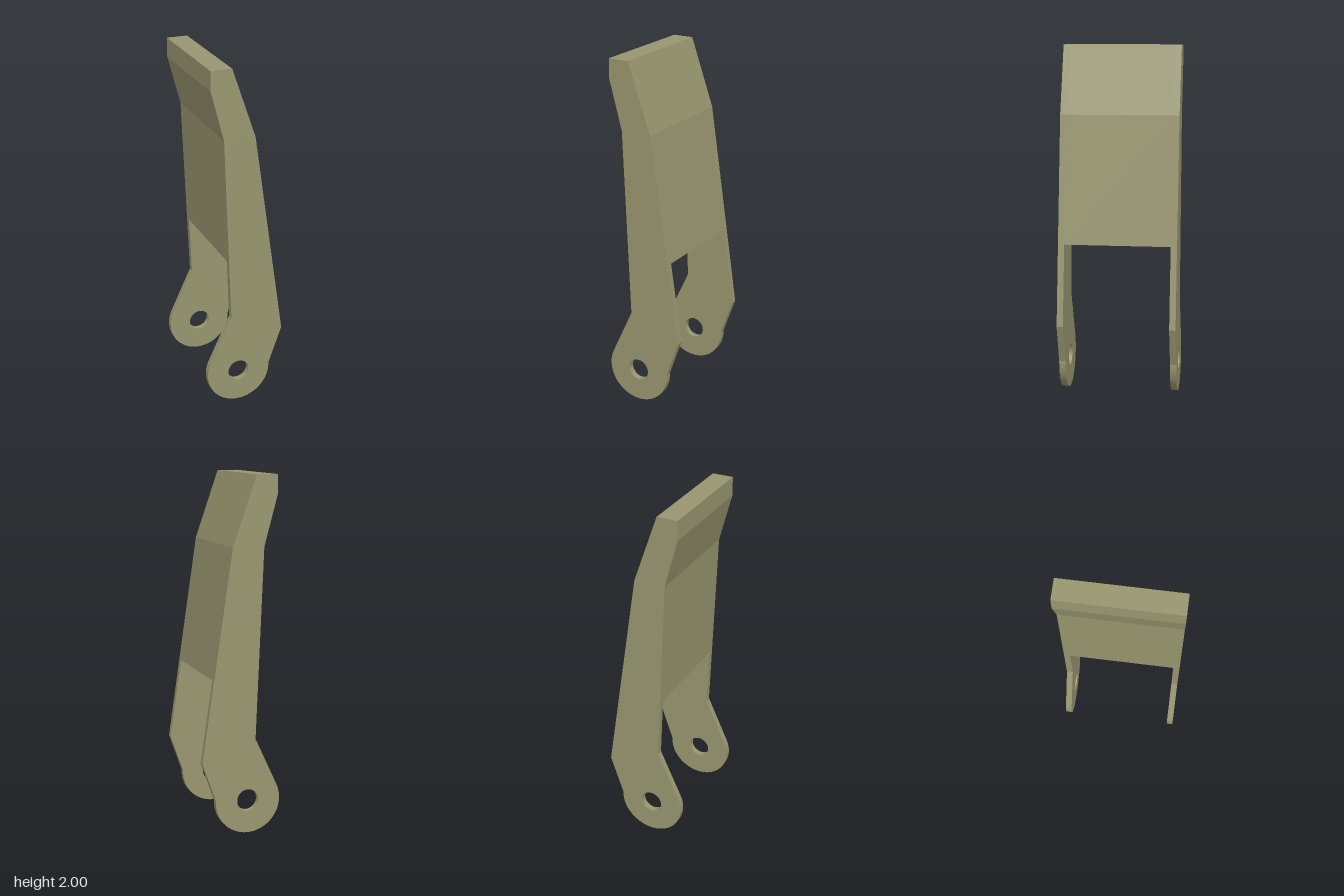
import * as THREE from 'three';
import { toCreasedNormals } from 'three/addons/utils/BufferGeometryUtils.js';

const HALF_WIDTH = 0.338;
const ARM = 0.036; // side plate thickness
const PIVOT = { x: -0.04, y: 0.19, r: 0.188, hole: 0.062 };

// Extrudes a profile along z from z0, keeping edges sharp and the round end smooth
function extrude(shape, z0, depth, material, name) {
  const geometry = new THREE.ExtrudeGeometry(shape, { depth, bevelEnabled: false, curveSegments: 64 });
  geometry.translate(0, 0, z0);
  const mesh = new THREE.Mesh(toCreasedNormals(geometry, 0.15), material);
  mesh.name = name;
  return mesh;
}

// Bent arm with a round pivot eye at the bottom
function armShape() {
  const shape = new THREE.Shape();
  shape.moveTo(-0.085, 2);
  shape.lineTo(-0.205, 2);
  shape.lineTo(-0.205, 1.89);
  shape.lineTo(-0.13, 1.61);
  shape.lineTo(-0.085, 0.54);
  shape.absarc(PIVOT.x, PIVOT.y, PIVOT.r, THREE.MathUtils.degToRad(155), THREE.MathUtils.degToRad(363), false);
  shape.lineTo(0.225, 0.42);
  shape.lineTo(0.05, 1.61);
  shape.closePath();
  const hole = new THREE.Path();
  hole.absarc(PIVOT.x, PIVOT.y, PIVOT.hole, 0, Math.PI * 2, true);
  shape.holes.push(hole);
  return shape;
}

// Solid upper body: the same outline, cut off flat above the fork
function bodyShape() {
  return new THREE.Shape([
    [-0.085, 2], [-0.205, 2], [-0.205, 1.89], [-0.13, 1.61],
    [-0.099, 0.883], [0.157, 0.883], [0.05, 1.61],
  ].map(([x, y]) => new THREE.Vector2(x, y)));
}

export function createModel() {
  const group = new THREE.Group();
  group.name = 'forkedLever';
  const olive = new THREE.MeshStandardMaterial({ color: 0x98966f });
  olive.name = 'olive';

  const inner = HALF_WIDTH - ARM;
  group.add(extrude(armShape(), inner, ARM, olive, 'frontArm'));
  group.add(extrude(armShape(), -HALF_WIDTH, ARM, olive, 'backArm'));
  group.add(extrude(bodyShape(), -inner, inner * 2, olive, 'body'));
  return group;
}
